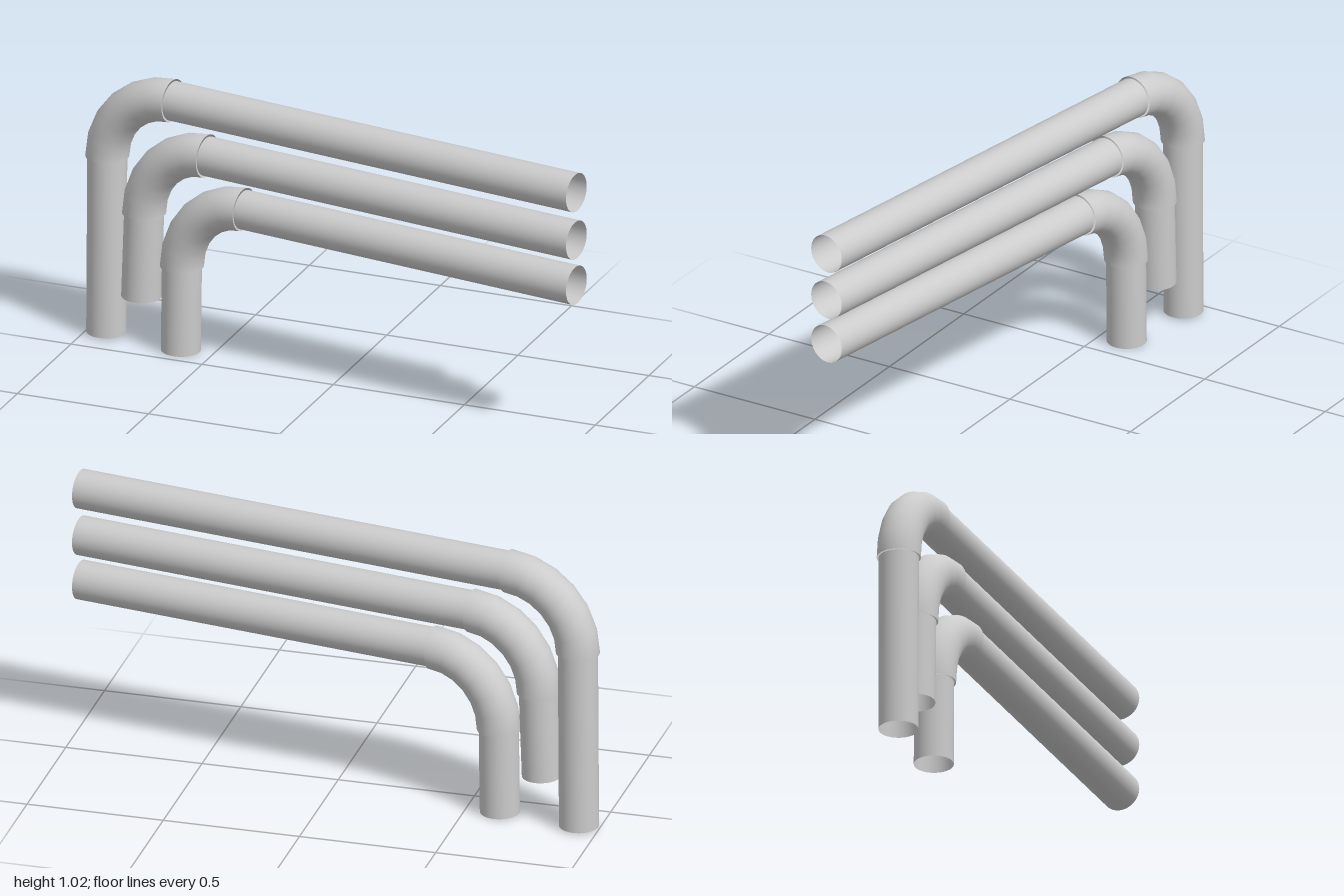
import * as THREE from 'three';

const PIPE_R = 0.071, ELBOW_R = 0.078;
const SLOPE = 0.156; // drift of z along x for the long runs
const END_X = 0.989, END_Z = 0.15;

// Quarter bend from an upright direction into a horizontal one
class Bend extends THREE.Curve {
  constructor(start, dir, run, rise) {
    super();
    Object.assign(this, { start, dir, run, rise });
  }
  getPoint(t, target = new THREE.Vector3()) {
    const a = t * Math.PI / 2;
    return target.copy(this.start)
      .addScaledVector(this.dir, this.run * (1 - Math.cos(a)))
      .add(new THREE.Vector3(0, this.rise * Math.sin(a), 0));
  }
}

export function createModel() {
  const model = new THREE.Group();
  model.name = 'bentPipes';
  const mat = new THREE.MeshStandardMaterial({ color: 0xcccccc, side: THREE.DoubleSide });
  const dir = new THREE.Vector3(1, 0, SLOPE).normalize();
  const zAt = x => END_Z + SLOPE * (x - END_X);

  const add = (parent, geometry, name) => {
    const mesh = new THREE.Mesh(geometry, mat);
    mesh.name = name;
    parent.add(mesh);
    return mesh;
  };

  // Open straight pipe between two points
  const straight = (parent, a, b, name) => {
    const axis = b.clone().sub(a);
    const mesh = add(parent, new THREE.CylinderGeometry(PIPE_R, PIPE_R, axis.length(), 40, 1, true), name);
    mesh.position.copy(a).add(b).multiplyScalar(0.5);
    mesh.quaternion.setFromUnitVectors(new THREE.Vector3(0, 1, 0), axis.normalize());
  };

  const pipes = [
    { name: 'upperPipe', footX: -0.926, foot: 0.005, bendX: -0.922, bendY: 0.675, runX: -0.655, runY: 0.94 },
    { name: 'middlePipe', footX: -0.783, foot: 0.17, bendX: -0.772, bendY: 0.49, runX: -0.515, runY: 0.759 },
    { name: 'lowerPipe', footX: -0.622, foot: 0.0, bendX: -0.618, bendY: 0.32, runX: -0.365, runY: 0.587 },
  ];

  for (const p of pipes) {
    const pipe = new THREE.Group();
    pipe.name = p.name;
    model.add(pipe);
    const bendStart = new THREE.Vector3(p.bendX, p.bendY, zAt(p.bendX));

    // Upright leg
    straight(pipe, new THREE.Vector3(p.footX, p.foot, zAt(p.bendX)), bendStart, 'uprightLeg');

    // Slightly wider elbow sleeve
    const run = (p.runX - p.bendX) / dir.x;
    const bend = new Bend(bendStart, dir, run, p.runY - p.bendY);
    add(pipe, new THREE.TubeGeometry(bend, 6, ELBOW_R, 40, false), 'elbow');

    // Long horizontal run
    straight(pipe, new THREE.Vector3(p.runX, p.runY, zAt(p.runX)),
      new THREE.Vector3(END_X, p.runY, END_Z), 'horizontalRun');
  }
  return model;
}
